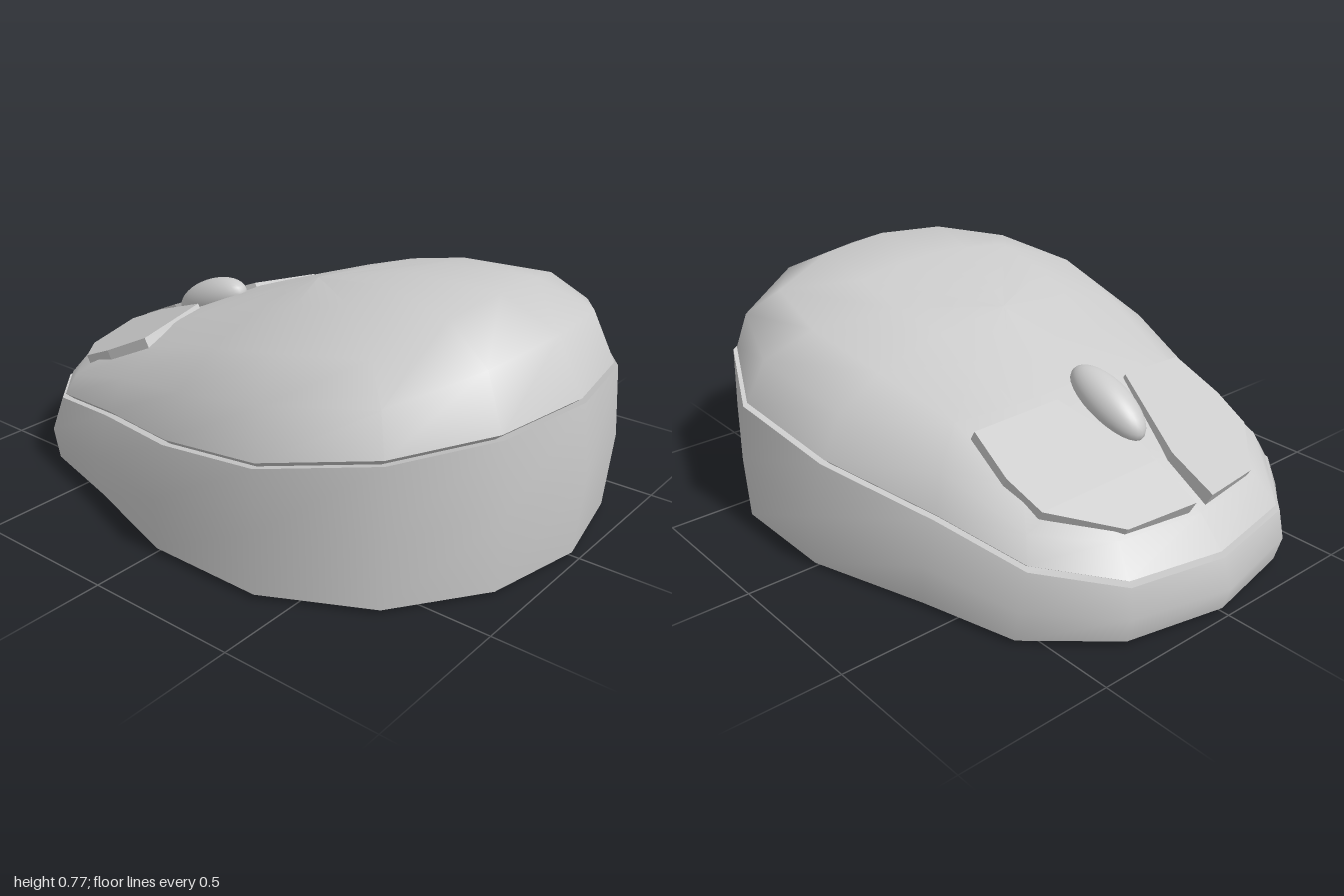
import * as THREE from 'three';

const grey = () => new THREE.MeshStandardMaterial({ color: 0xcccccc, side: THREE.DoubleSide });

// Half outlines [x, z] running from the nose to the tail
const OUTER = [[-1, 0], [-0.93, 0.33], [-0.72, 0.565], [-0.4, 0.65], [0, 0.775], [0.4, 0.775], [0.73, 0.61], [0.93, 0.33], [1, 0]];
const RIM = [[-0.955, 0], [-0.9, 0.32], [-0.7, 0.515], [-0.39, 0.59], [0, 0.712], [0.385, 0.748], [0.71, 0.6], [0.9, 0.33], [0.962, 0]];

// Mirrors a half outline into a closed loop of 16 points
const loop = (half) => [...half, ...half.slice(1, -1).reverse().map(([x, z]) => [x, -z])];
const outer = loop(OUTER);
const rim = loop(RIM);

// Height of the sloping seam between base and shell
const seam = (x) => 0.34 + 0.165 * x;

// Scales a loop and lifts it to a height rule
const ring = (points, sx, sz, height) => points.map(([x, z]) => [x * sx, height(x * sx), z * sz]);

// Smooth skin over a stack of rings
function loft(name, rings) {
  const n = rings[0].length;
  const index = [];
  for (let r = 0; r < rings.length - 1; r++) {
    for (let i = 0; i < n; i++) {
      const j = (i + 1) % n;
      const a = r * n + i, b = r * n + j, c = b + n, d = a + n;
      index.push(a, b, c, a, c, d);
    }
  }
  const geometry = new THREE.BufferGeometry();
  geometry.setAttribute('position', new THREE.Float32BufferAttribute(rings.flat(2), 3));
  geometry.setIndex(index);
  geometry.computeVertexNormals();
  const mesh = new THREE.Mesh(geometry, grey());
  mesh.name = name;
  return mesh;
}

// Domed rings: each is a slice of a sheared, cube-like sphere
function domeRing(c) {
  const spread = [0, 0.41, 1, 0.41];
  return rim.map(([x, z], i) => {
    const t = spread[i % 4];
    const s = c / Math.sqrt(c * c + 1 + t * t);
    const r = Math.sqrt(1 - s * s);
    const px = x * r;
    return [px, seam(px) + 0.012 + (0.32 + 0.155 * px) * s, z * r];
  });
}

// Tilted button plate; side is +1 or -1 along z
function button(name, side) {
  const outline = [[-0.88, 0.035], [-0.835, 0.265], [-0.67, 0.435], [-0.54, 0.452], [-0.375, 0.432], [-0.415, 0.145], [-0.72, 0.035]];
  const shape = new THREE.Shape(outline.map(([x, z]) => new THREE.Vector2(x, -z * side)));
  const geometry = new THREE.ExtrudeGeometry(shape, { depth: 1, bevelEnabled: false });
  geometry.rotateX(-Math.PI / 2);
  const p = geometry.attributes.position;
  for (let i = 0; i < p.count; i++) {
    const x = p.getX(i);
    const z = p.getZ(i);
    const low = p.getY(i) < 0.5 ? 1 : 0;
    p.setXYZ(i, x + 0.028 * low, 0.74 + 0.455 * x - 0.17 * Math.abs(z) - 0.05 * low, z);
  }
  geometry.computeVertexNormals();
  const mesh = new THREE.Mesh(geometry, grey());
  mesh.name = name;
  return mesh;
}

export function createModel() {
  const group = new THREE.Group();
  group.name = 'computerMouse';

  // Base: gently bulging wall, slightly convex underside
  const foot = ring(outer, 0.975, 0.99, () => 0.012);
  const lip = ring(rim, 1.013, 1.016, seam);
  const ledge = ring(rim, 0.97, 0.97, (x) => seam(x) - 0.008);
  group.add(loft('baseWall', [foot, ring(outer, 1, 1, (x) => 0.18 + 0.09 * x), lip]));
  group.add(loft('underside', [ring(outer, 0, 0, () => 0), ring(outer, 0.6, 0.6, () => 0), foot]));

  // Seam groove between the base and the shell
  group.add(loft('baseLip', [lip, ledge]));
  group.add(loft('shellEdge', [ledge, domeRing(0)]));

  // Domed upper shell
  group.add(loft('shell', [0, 0.45, 1, 2.4, 1e6].map(domeRing)));

  // Two buttons with a scroll wheel between them
  group.add(button('leftButton', 1), button('rightButton', -1));
  const wheel = new THREE.Mesh(new THREE.SphereGeometry(1, 28, 18), grey());
  wheel.name = 'scrollWheel';
  wheel.scale.set(0.16, 0.072, 0.072);
  wheel.rotation.z = 0.42;
  wheel.position.set(-0.478, 0.492, 0.005);
  group.add(wheel);

  return group;
}
